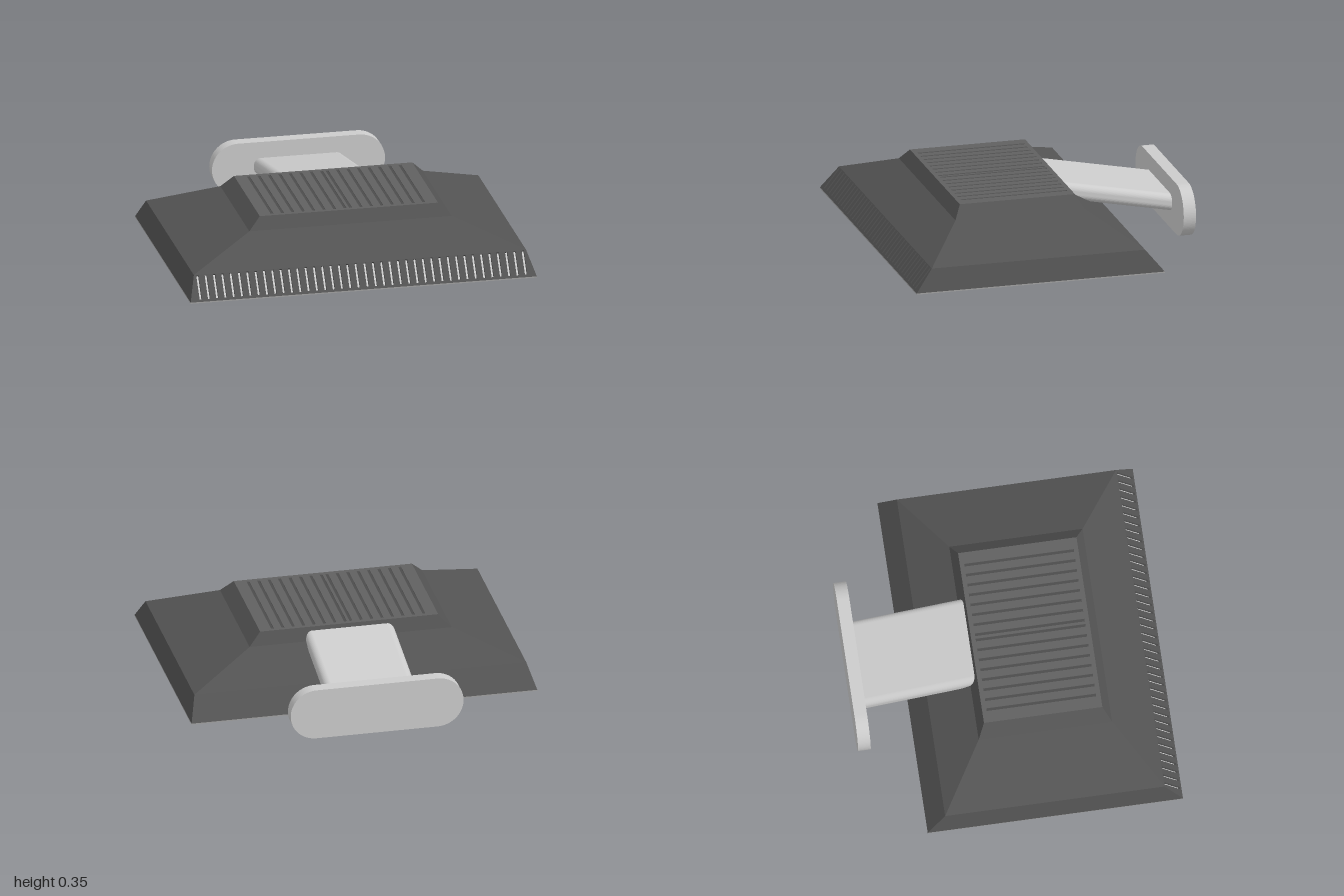
import * as THREE from 'three';

const paint = (color) => new THREE.MeshStandardMaterial({ color });
const HOUSING = 0x535353;

function addMesh(parent, name, geometry, material) {
  const mesh = new THREE.Mesh(geometry, material);
  mesh.name = name;
  parent.add(mesh);
  return mesh;
}

// Housing cross-sections from the screen side up: [half width, front z, back z, y]
const LEVELS = [
  [1.0, 0.89, -0.565, 0.008],
  [0.96, 0.79, -0.46, 0.135],
  [0.585, 0.545, -0.215, 0.28],
  [0.515, 0.5, -0.175, 0.35],
];

// Sloping walls of the housing
function housingGeometry() {
  const corners = ([w, f, b, y]) => [[-w, y, f], [w, y, f], [w, y, b], [-w, y, b]];
  const points = [];
  for (let i = 0; i < LEVELS.length - 1; i++) {
    const lo = corners(LEVELS[i]), hi = corners(LEVELS[i + 1]);
    for (let k = 0; k < 4; k++) {
      if (i === 0 && k === 0) continue; // filled by the vent panel
      const n = (k + 1) % 4;
      points.push(...lo[k], ...lo[n], ...hi[n], ...lo[k], ...hi[n], ...hi[k]);
    }
  }
  const geometry = new THREE.BufferGeometry();
  geometry.setAttribute('position', new THREE.Float32BufferAttribute(points, 3));
  geometry.computeVertexNormals();
  return geometry;
}

// Four walls of a slot, facing inwards
function slotWalls(width, height, depth) {
  const box = new THREE.BoxGeometry(width, height, depth);
  box.setIndex(Array.from(box.index.array.slice(0, 24)).reverse());
  box.computeVertexNormals();
  return box;
}

// Flat panel in its own xy plane, cut by upright slots with walls and a floor
function slottedPanel(name, outline, xs, width, y0, y1, depth, faceColor, floorColor) {
  const panel = new THREE.Group();
  panel.name = name;
  const shape = new THREE.Shape(outline.map(([x, y]) => new THREE.Vector2(x, y)));
  const face = paint(faceColor), floor = paint(floorColor);
  const wallGeometry = slotWalls(width, y1 - y0, depth);
  const floorGeometry = new THREE.PlaneGeometry(width, y1 - y0);
  for (const x of xs) {
    const l = x - width / 2, r = x + width / 2;
    shape.holes.push(new THREE.Path([[l, y0], [l, y1], [r, y1], [r, y0]]
      .map(([px, py]) => new THREE.Vector2(px, py))));
    addMesh(panel, 'slotWalls', wallGeometry, face).position.set(x, (y0 + y1) / 2, -depth / 2);
    addMesh(panel, 'slotFloor', floorGeometry, floor).position.set(x, (y0 + y1) / 2, -depth);
  }
  addMesh(panel, 'panelFace', new THREE.ShapeGeometry(shape), face);
  return panel;
}

// Slot positions mirrored about the middle
function mirroredRow(first, step, count) {
  const xs = [];
  for (let i = 0; i < count; i++) xs.push(first + i * step, -first - i * step);
  return xs;
}

function roundedRect(w, h, r) {
  const s = new THREE.Shape(), x = w / 2 - r, y = h / 2 - r;
  s.absarc(x, y, r, 0, Math.PI / 2);
  s.absarc(-x, y, r, Math.PI / 2, Math.PI);
  s.absarc(-x, -y, r, Math.PI, Math.PI * 1.5);
  s.absarc(x, -y, r, Math.PI * 1.5, Math.PI * 2);
  s.closePath();
  return s;
}

// Half of the screen on one side of the S-shaped glare line, facing down
function screenHalf(halfWidth, middle, edge) {
  const line = [];
  for (let i = 0; i <= 40; i++) {
    const x = halfWidth * (i / 20 - 1);
    line.push(new THREE.Vector2(x, middle - 0.16 * Math.sin(Math.PI * x / halfWidth)));
  }
  line.push(new THREE.Vector2(halfWidth, edge), new THREE.Vector2(-halfWidth, edge));
  return new THREE.ShapeGeometry(new THREE.Shape(line)).rotateX(Math.PI / 2);
}

export function createModel() {
  const model = new THREE.Group();
  model.name = 'monitor';

  addMesh(model, 'housing', housingGeometry(), paint(HOUSING));

  // Thin lighter frame around the screen
  const [w0, f0, b0, y0] = LEVELS[0];
  const frameBottom = 0.001;
  const frame = addMesh(model, 'screenFrame',
    new THREE.BoxGeometry(2 * w0, y0 - frameBottom, f0 - b0), paint(0xa3a3a3));
  frame.position.set(0, (y0 + frameBottom) / 2, (f0 + b0) / 2);

  // Sloping edge with a row of vents
  const [w1, f1, , y1] = LEVELS[1];
  const slope = Math.hypot(y1 - y0, f0 - f1);
  const vents = slottedPanel('ventPanel', [[-w0, 0], [w0, 0], [w1, slope], [-w1, slope]],
    mirroredRow(0.026, 0.0481, 20), 0.013, 0.015, slope - 0.004, 0.014, HOUSING, 0xe6e6e6);
  vents.position.set(0, y0, f0);
  vents.rotation.x = -Math.atan2(f0 - f1, y1 - y0);
  model.add(vents);

  // Flat back plate with long shallow grooves
  const [w3, f3, b3, y3] = LEVELS[3];
  const grooves = slottedPanel('groovedBack', [[-w3, -f3], [w3, -f3], [w3, -b3], [-w3, -b3]],
    mirroredRow(0.016, 0.0603, 8), 0.016, -0.475, 0.15, 0.004, 0x606060, 0x4c4c4c);
  grooves.position.y = y3;
  grooves.rotation.x = -Math.PI / 2;
  model.add(grooves);

  // Two-tone screen
  const middle = (f0 + b0) / 2, halfDepth = 0.625;
  addMesh(model, 'screenDark', screenHalf(0.91, middle, middle - halfDepth), paint(0x050505));
  addMesh(model, 'screenGlare', screenHalf(0.91, middle, middle + halfDepth), paint(0x484848));

  // Stand arm, tilted from the foot to the back plate
  const grey = paint(0xcccccc);
  const start = new THREE.Vector3(0, 0.152, -0.83), end = new THREE.Vector3(0, 0.284, -0.17);
  const arm = addMesh(model, 'standArm', new THREE.ExtrudeGeometry(roundedRect(0.515, 0.097, 0.04),
    { depth: start.distanceTo(end), bevelEnabled: false, curveSegments: 8 }), grey);
  arm.position.copy(start);
  arm.lookAt(end);

  // Stand foot
  const foot = addMesh(model, 'standFoot', new THREE.ExtrudeGeometry(roundedRect(1.0, 0.3, 0.1499),
    { depth: 0.072, bevelEnabled: false, curveSegments: 12 }), grey);
  foot.position.set(0, 0.15, -0.89);

  return model;
}
